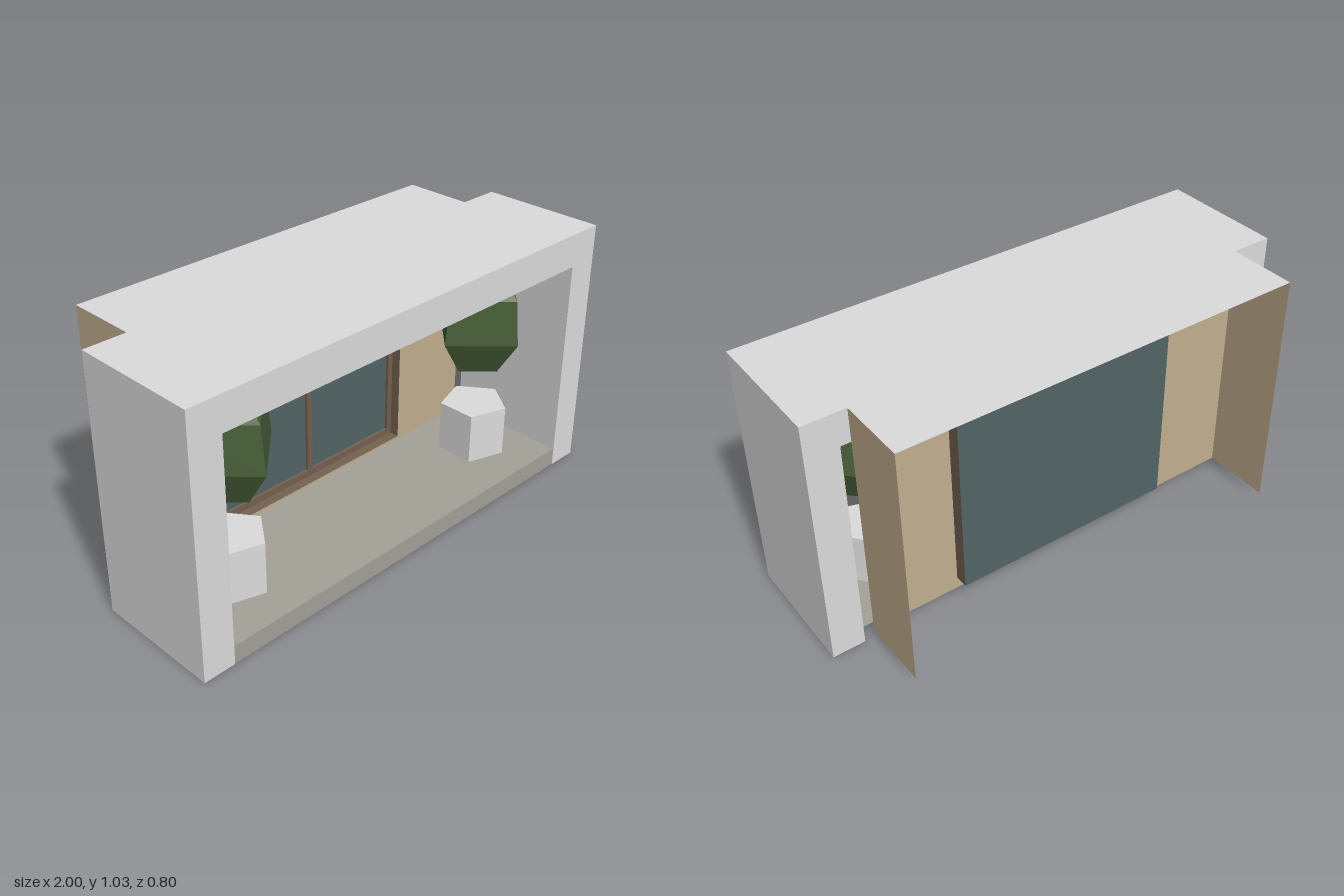
import * as THREE from 'three';

const mat = (name, color, double = true) => {
  const m = new THREE.MeshStandardMaterial({ color });
  m.name = name;
  if (double) m.side = THREE.DoubleSide;
  return m;
};

export function createModel() {
  const root = new THREE.Group();
  root.name = 'shopfrontUnit';
  const white = mat('paleGrey', 0xdcdcdc);
  const tan = mat('tan', 0xc2af8f);
  const stone = mat('floorStone', 0xa4a298);
  const wood = mat('brownWood', 0x756150);
  const glass = mat('darkGlass', 0x526464);
  const leaf = mat('leafGreen', 0x486038);
  leaf.flatShading = white.flatShading = true;

  const FRONT = 0.4, WALL = -0.115, BACK = -0.4, TOP = 1.035;

  const add = (name, geo, material, x = 0, y = 0, z = 0) => {
    const m = new THREE.Mesh(geo, material);
    m.name = name;
    m.position.set(x, y, z);
    root.add(m);
    return m;
  };
  const outline = (pts) => new THREE.Shape(pts.map(([x, y]) => new THREE.Vector2(x, y)));
  // Flat panels facing x, y and z
  const panelX = (name, material, x, y0, y1, z0, z1) =>
    add(name, new THREE.PlaneGeometry(z1 - z0, y1 - y0).rotateY(Math.sign(x) * Math.PI / 2),
      material, x, (y0 + y1) / 2, (z0 + z1) / 2);
  const panelY = (name, material, y, hx, z0, z1, up = true) =>
    add(name, new THREE.PlaneGeometry(2 * hx, z1 - z0).rotateX(up ? -Math.PI / 2 : Math.PI / 2),
      material, 0, y, (z0 + z1) / 2);
  const panelZ = (name, material, z, x0, x1, y0, y1) =>
    add(name, new THREE.PlaneGeometry(x1 - x0, y1 - y0), material, (x0 + x1) / 2, (y0 + y1) / 2, z);

  // Portal frame: hollow, open underneath
  add('portalFront', new THREE.ShapeGeometry(outline([
    [-1, 0], [-0.87, 0], [-0.87, 0.9], [0.87, 0.9], [0.87, 0], [1, 0], [1, TOP], [-1, TOP],
  ])), white, 0, 0, FRONT);
  panelY('portalSoffit', white, 0.9, 0.87, WALL, FRONT, false);
  for (const s of [-1, 1]) {
    panelX('portalOuterSide', white, s, 0, TOP, WALL, FRONT);
    panelX('portalInnerSide', white, s * 0.87, 0, 0.9, WALL, FRONT);
    const back = [[0.87, 0], [1, 0], [1, TOP], [0.83, TOP], [0.83, 0.9], [0.87, 0.9]];
    add('portalBack', new THREE.ShapeGeometry(outline(back.map(([x, y]) => [s * x, y])))
      , white, 0, 0, WALL);
    // Side wall running back behind the portal
    panelX('sideWall', tan, s * 0.83, 0.035, TOP, BACK, WALL);
  }

  // Roof: one sheet, narrower at the rear
  add('roof', new THREE.ShapeGeometry(outline([
    [-1, -FRONT], [1, -FRONT], [1, -WALL], [0.83, -WALL],
    [0.83, -BACK], [-0.83, -BACK], [-0.83, -WALL], [-1, -WALL],
  ])).rotateX(-Math.PI / 2), white, 0, TOP, 0);

  // Floor step
  panelY('floorTop', stone, 0.075, 0.997, WALL, FRONT - 0.002);
  panelZ('floorFront', stone, FRONT - 0.002, -0.997, 0.997, 0, 0.075);

  // Back wall with the window opening
  const W = 0.468, Y0 = 0.085, Y1 = 0.887, PANE = -0.17;
  const wall = outline([[-0.83, 0.035], [0.83, 0.035], [0.83, TOP], [-0.83, TOP]]);
  wall.holes.push(outline([[-W, Y0], [-W, Y1], [W, Y1], [W, Y0]]));
  add('backWall', new THREE.ShapeGeometry(wall), tan, 0, 0, WALL);

  // Window: recessed reveal, pane and bars
  for (const s of [-1, 1]) panelX('windowRevealSide', wood, s * W, Y0, Y1, PANE, WALL);
  panelY('windowSill', wood, Y0, W, PANE, WALL, false);
  panelY('windowHead', wood, Y1, W, PANE, WALL);
  panelZ('windowPane', glass, PANE, -W, W, Y0, Y1);
  const bar = (name, x0, x1, y0, y1) =>
    add(name, new THREE.BoxGeometry(x1 - x0, y1 - y0, 0.012), wood,
      (x0 + x1) / 2, (y0 + y1) / 2, PANE + 0.008);
  bar('windowBarLeft', W - 0.024, W, Y0, Y1);
  bar('windowBarRight', -W, -W + 0.024, Y0, Y1);
  bar('windowMullion', -0.012, 0.012, Y0, Y1);
  bar('windowBarBottom', -W, W, Y0, Y0 + 0.028);
  bar('windowBarTop', -W, W, Y1 - 0.02, Y1);
  bar('windowTransom', -W, W, 0.77, 0.797);

  // Five-sided planters with four-sided faceted trees hanging above
  const crown = [[0, 0.467], [0.108, 0.467], [0.2, 0.613], [0.18, 0.797], [0.106, 0.898], [0, 0.898]]
    .map(([x, y]) => new THREE.Vector2(x, y));
  for (const s of [-1, 1]) {
    add('planter', new THREE.CylinderGeometry(0.138, 0.138, 0.213, 5).rotateY(Math.PI / 2)
      , white, s * 0.65 + (s > 0 ? 0.002 : 0), 0.1815, 0.135).rotation.y = -Math.PI * 2;
    add('treeCrown', new THREE.LatheGeometry(crown, 4), leaf, s * 0.65, 0, 0.135);
  }
  return root;
}
